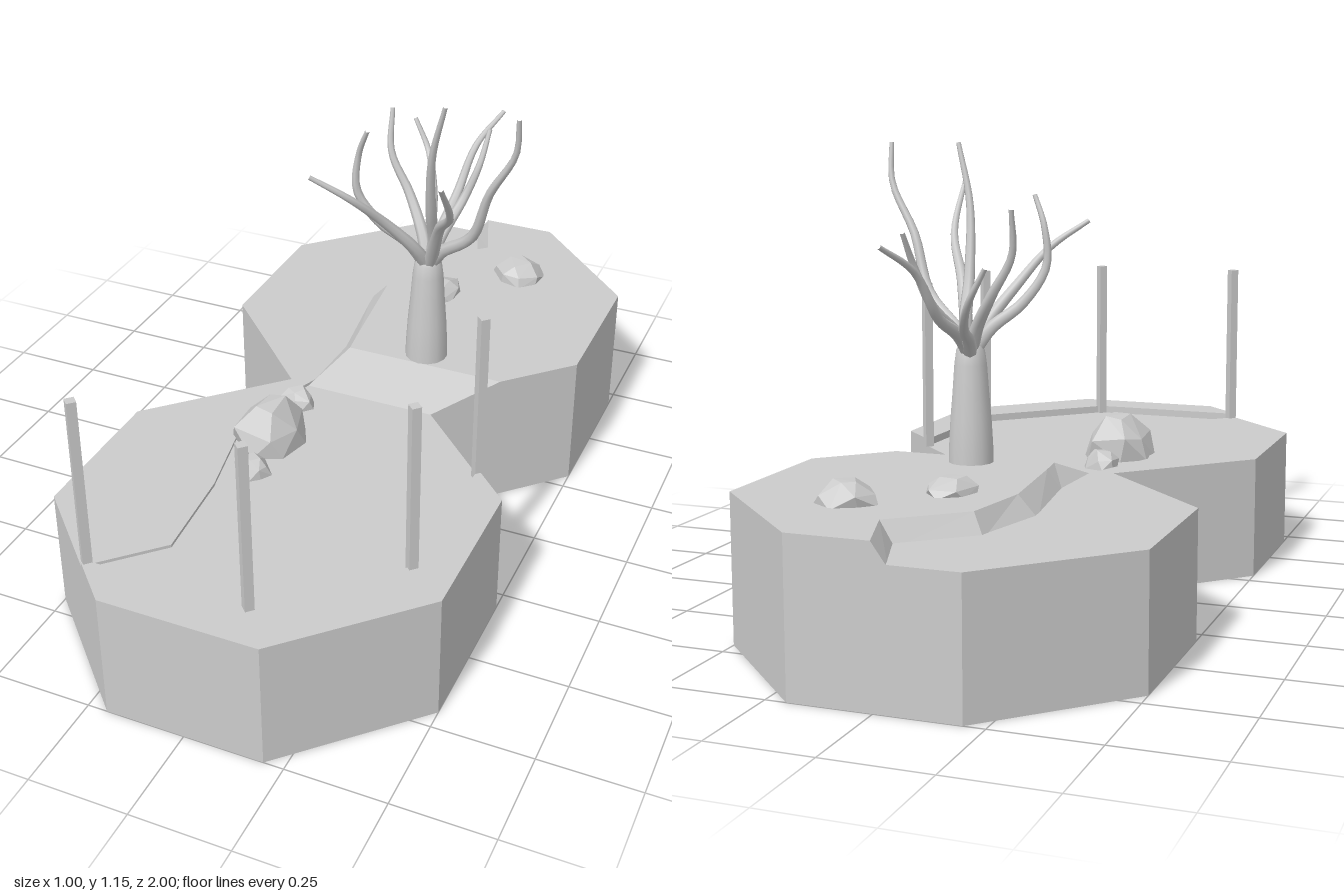
import * as THREE from 'three';
import { ConvexGeometry } from 'three/addons/geometries/ConvexGeometry.js';

const flat = new THREE.MeshStandardMaterial({ color: 0xcccccc, flatShading: true });
const smooth = new THREE.MeshStandardMaterial({ color: 0xcccccc });
const GROUND = 0.31;

function part(parent, name, geometry, material = flat) {
  const mesh = new THREE.Mesh(geometry, material);
  mesh.name = name;
  parent.add(mesh);
  return mesh;
}

// Solid between a lower and an upper [x, z] outline with the same number of corners
function loft(lower, upper, y0, y1) {
  const toV = (loop) => loop.map(([x, z]) => new THREE.Vector2(x, z));
  let lo = toV(lower), up = toV(upper);
  if (THREE.ShapeUtils.area(up) > 0) { lo = lo.reverse(); up = up.reverse(); }
  const pos = [];
  const push = (p, y) => pos.push(p.x, y, p.y);
  const n = up.length;
  for (let i = 0; i < n; i++) {
    const j = (i + 1) % n;
    push(lo[i], y0); push(lo[j], y0); push(up[j], y1);
    push(lo[i], y0); push(up[j], y1); push(up[i], y1);
  }
  const cap = (loop, y, upward) => {
    for (const f of THREE.ShapeUtils.triangulateShape(loop, [])) {
      const t = f.map((i) => loop[i]);
      if ((THREE.ShapeUtils.area(t) < 0) !== upward) t.reverse();
      t.forEach((p) => push(p, y));
    }
  };
  cap(up, y1, true);
  cap(lo, y0, false);
  const g = new THREE.BufferGeometry();
  g.setAttribute('position', new THREE.Float32BufferAttribute(pos, 3));
  g.computeVertexNormals();
  return g;
}

// Tapered branch along a smooth curve
function branchGeometry(points, r0, r1) {
  const curve = new THREE.CatmullRomCurve3(points.map((p) => new THREE.Vector3(...p)));
  const segments = 20, sides = 7;
  const g = new THREE.TubeGeometry(curve, segments, 1, sides);
  const p = g.attributes.position, v = new THREE.Vector3();
  for (let i = 0; i < p.count; i++) {
    const t = Math.floor(i / (sides + 1)) / segments;
    const c = curve.getPointAt(t);
    v.fromBufferAttribute(p, i).sub(c).multiplyScalar(r0 + (r1 - r0) * t).add(c);
    p.setXYZ(i, v.x, v.y, v.z);
  }
  return g;
}

// Faceted boulder: hull of three uneven rings
function rockGeometry(w, h, d, seed) {
  let s = seed;
  const rand = () => (s = (s * 16807) % 2147483647) / 2147483647;
  for (let i = 0; i < 4; i++) rand();
  const pts = [];
  for (const [y, r, n] of [[0, 0.95, 7], [0.5, 0.88, 6], [0.95, 0.45, 4]]) {
    for (let i = 0; i < n; i++) {
      const a = ((i + 0.5 * rand()) / n) * Math.PI * 2 + seed;
      const k = r * (0.85 + 0.25 * rand());
      pts.push(new THREE.Vector3(Math.cos(a) * k * w / 2,
        y === 0 ? 0 : h * (y + 0.12 * (rand() - 0.5)), Math.sin(a) * k * d / 2));
    }
  }
  return new ConvexGeometry(pts);
}

export function createModel() {
  const model = new THREE.Group();
  model.name = 'terrainTiles';

  // Two joined octagonal tiles
  const half = [[0.2, 0], [0.5, 0.3], [0.5, 0.7], [0.2, 1], [-0.2, 1], [-0.5, 0.7], [-0.5, 0.3], [-0.2, 0]];
  const back = half.slice(1, 7).reverse().map(([x, z]) => [x, -z]);
  const outline = [...half, ...back];
  part(model, 'groundTiles', loft(outline, outline, 0, GROUND));

  // Slightly raised bank along the left side
  const bank = [[-0.29, 0.89], [-0.3, 0.9], [-0.5, 0.7], [-0.5, 0.3], [-0.2, 0], [-0.5, -0.3],
    [-0.5, -0.7], [-0.2, -1], [0, -1], [0.08, -0.8], [-0.08, -0.65], [-0.08, -0.2],
    [-0.15, 0], [-0.23, 0.21], [-0.17, 0.5], [-0.15, 0.75]];
  part(model, 'bank', loft(bank, bank, GROUND, 0.318));

  // Curb outside the fence line
  const curb = [[-0.29, 0.89], [0.12, 0.89], [0.395, 0.615], [0.405, 0.205], [0.5, 0.3],
    [0.5, 0.7], [0.2, 1], [-0.2, 1], [-0.3, 0.9]];
  part(model, 'curb', loft(curb, curb, GROUND, 0.33));

  // Plateau with a ramp at its front and sloping side
  part(model, 'plateau', loft(
    [[0.2, 0], [0.5, -0.3], [0.5, -0.7], [0.2, -1], [-0.04, -1], [0.02, -0.84], [-0.13, -0.71],
      [-0.18, -0.5], [-0.14, -0.22], [-0.15, 0]],
    [[0.34, -0.14], [0.5, -0.3], [0.5, -0.7], [0.2, -1], [0, -1], [0.06, -0.83], [-0.1, -0.69],
      [-0.13, -0.5], [-0.1, -0.22], [-0.09, -0.14]], GROUND, 0.365));

  // Fence posts
  for (const [x, z] of [[-0.29, 0.89], [0.12, 0.89], [0.395, 0.615], [0.405, 0.21]]) {
    part(model, 'fencePost', new THREE.CylinderGeometry(0.016, 0.016, 0.455, 4)).position.set(x, 0.5375, z);
  }

  // Boulders: x, z, base height, width, height, depth
  [[0.2, -0.7, 0.36, 0.17, 0.055, 0.15], [0.02, -0.52, 0.36, 0.14, 0.04, 0.17],
    [-0.14, 0.09, GROUND, 0.1, 0.05, 0.08], [-0.13, 0.26, GROUND, 0.2, 0.115, 0.22],
    [-0.11, 0.41, GROUND, 0.1, 0.05, 0.08]].forEach(([x, z, y, w, h, d], i) => {
    part(model, 'boulder', rockGeometry(w, h, d, i * 7 + 3)).position.set(x, y, z);
  });

  // Bare tree: swollen trunk and curving branches
  const tree = new THREE.Group();
  tree.name = 'tree';
  model.add(tree);
  const trunk = [[0.057, 0.33], [0.056, 0.4], [0.052, 0.47], [0.046, 0.54], [0.041, 0.61], [0.036, 0.645],
    [0.025, 0.67], [0, 0.685]].map(([r, y]) => new THREE.Vector2(r, y));
  part(tree, 'trunk', new THREE.LatheGeometry(trunk, 14), smooth).position.set(0.11, 0, -0.195);

  const branches = [
    [[0.15, 0.69, -0.18], [0.25, 0.78, -0.13], [0.3, 0.92, -0.1], [0.37, 1.05, -0.08], [0.38, 1.15, -0.06]],
    [[0.125, 0.71, -0.19], [0.135, 0.82, -0.14], [0.155, 1, -0.085], [0.195, 1.15, -0.06]],
    [[0.14, 0.71, -0.15], [0.18, 0.81, -0.08], [0.255, 0.92, 0.05], [0.27, 1.045, 0.16]],
    [[0.09, 0.7, -0.15], [0.03, 0.8, -0.08], [-0.03, 0.89, 0], [-0.115, 0.955, 0.05]],
    [[0.06, 0.7, -0.18], [-0.01, 0.76, -0.15], [-0.065, 0.85, -0.13], [-0.06, 0.95, -0.13], [-0.03, 1.025, -0.115]],
    [[0.08, 0.7, -0.23], [0.02, 0.79, -0.28], [-0.04, 0.89, -0.3], [-0.05, 1, -0.33]],
    [[0.12, 0.69, -0.25], [0.15, 0.77, -0.34], [0.18, 0.86, -0.37], [0.19, 0.945, -0.415]],
    [[0.11, 0.69, -0.27], [0.11, 0.75, -0.4], [0.13, 0.86, -0.48], [0.17, 0.925, -0.585]],
    [[0.08, 0.68, -0.28], [0.03, 0.73, -0.43], [-0.02, 0.8, -0.52], [-0.07, 0.88, -0.545]],
  ];
  for (const points of branches) {
    part(tree, 'branch', branchGeometry([[0.11, 0.63, -0.195], ...points], 0.019, 0.006), smooth);
  }
  return model;
}
